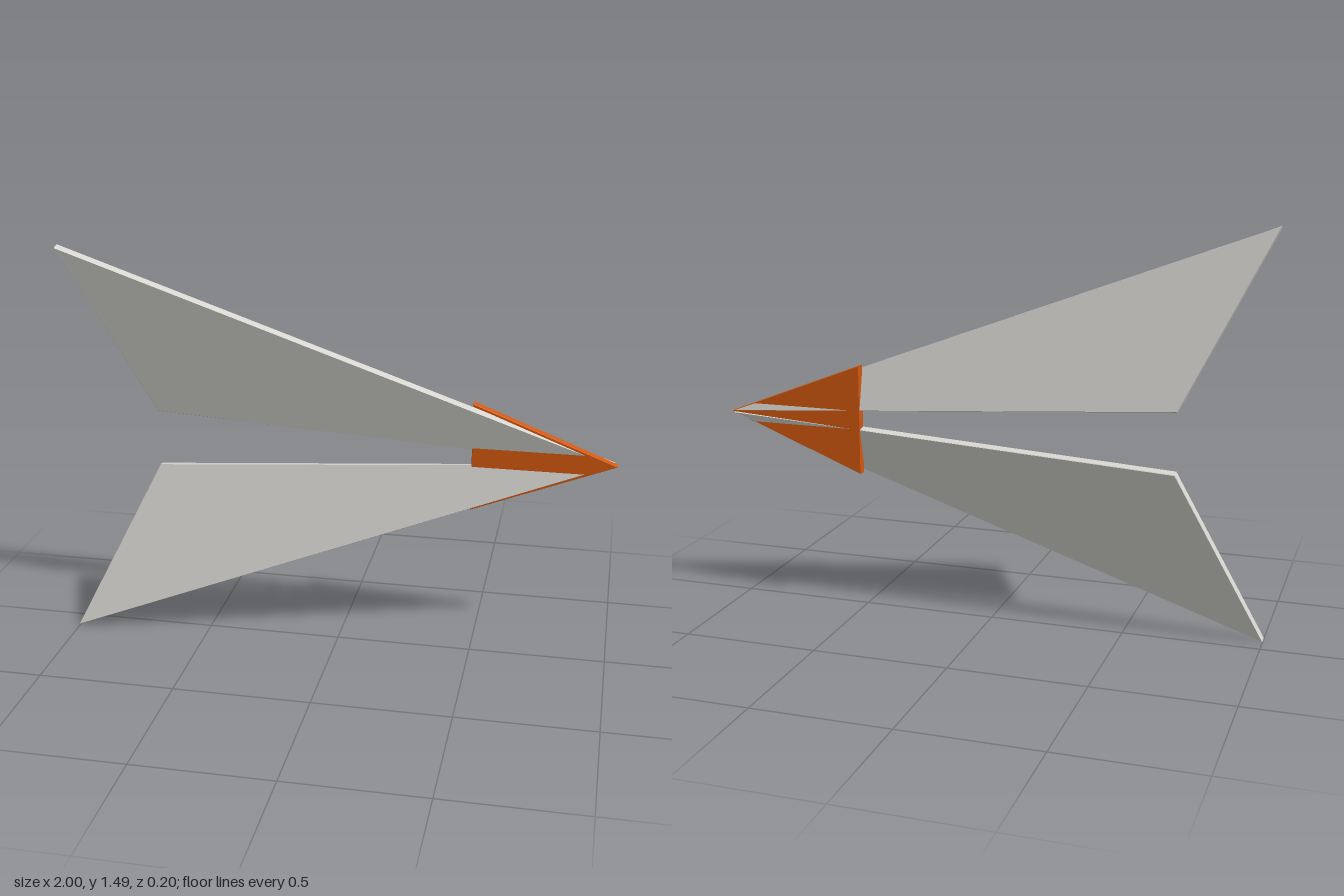
import * as THREE from 'three';

const CENTRE_Y = 0.745;

// Flat plate cut from an outline, centred on its thickness, with a fine edge chamfer
function plate(name, points, thickness, material) {
  const bevel = 0.002;
  const shape = new THREE.Shape(points.map(([x, y]) => new THREE.Vector2(x, y)));
  const geometry = new THREE.ExtrudeGeometry(shape, {
    depth: thickness - 2 * bevel,
    bevelEnabled: true,
    bevelThickness: bevel,
    bevelSize: bevel,
    bevelOffset: -bevel,
    bevelSegments: 1,
  });
  geometry.translate(0, 0, bevel - thickness / 2);
  const mesh = new THREE.Mesh(geometry, material);
  mesh.name = name;
  return mesh;
}

export function createModel() {
  const grey = new THREE.MeshStandardMaterial({ color: 0xd6d5d0 });
  grey.name = 'pale grey';
  const orange = new THREE.MeshStandardMaterial({ color: 0xd65a10 });
  orange.name = 'burnt orange';

  const model = new THREE.Group();
  model.name = 'dart';

  // Two swept wings, mirrored and folded forward about the centre line
  for (const side of [1, -1]) {
    const outline = [[0.99, 0], [-0.69, side * 0.111], [-1, side * 0.76]];
    const wing = plate(side > 0 ? 'upperWing' : 'lowerWing', outline, 0.032, grey);
    wing.rotation.x = side * 0.222;
    wing.position.set(0, CENTRE_Y, -0.083);
    model.add(wing);
  }

  // Triangular nose plate joining the wings
  const nose = plate('nosePlate', [[1, 0], [0.48, 0.204], [0.48, -0.204]], 0.033, orange);
  nose.position.set(0, CENTRE_Y, -0.075);
  model.add(nose);

  return model;
}
